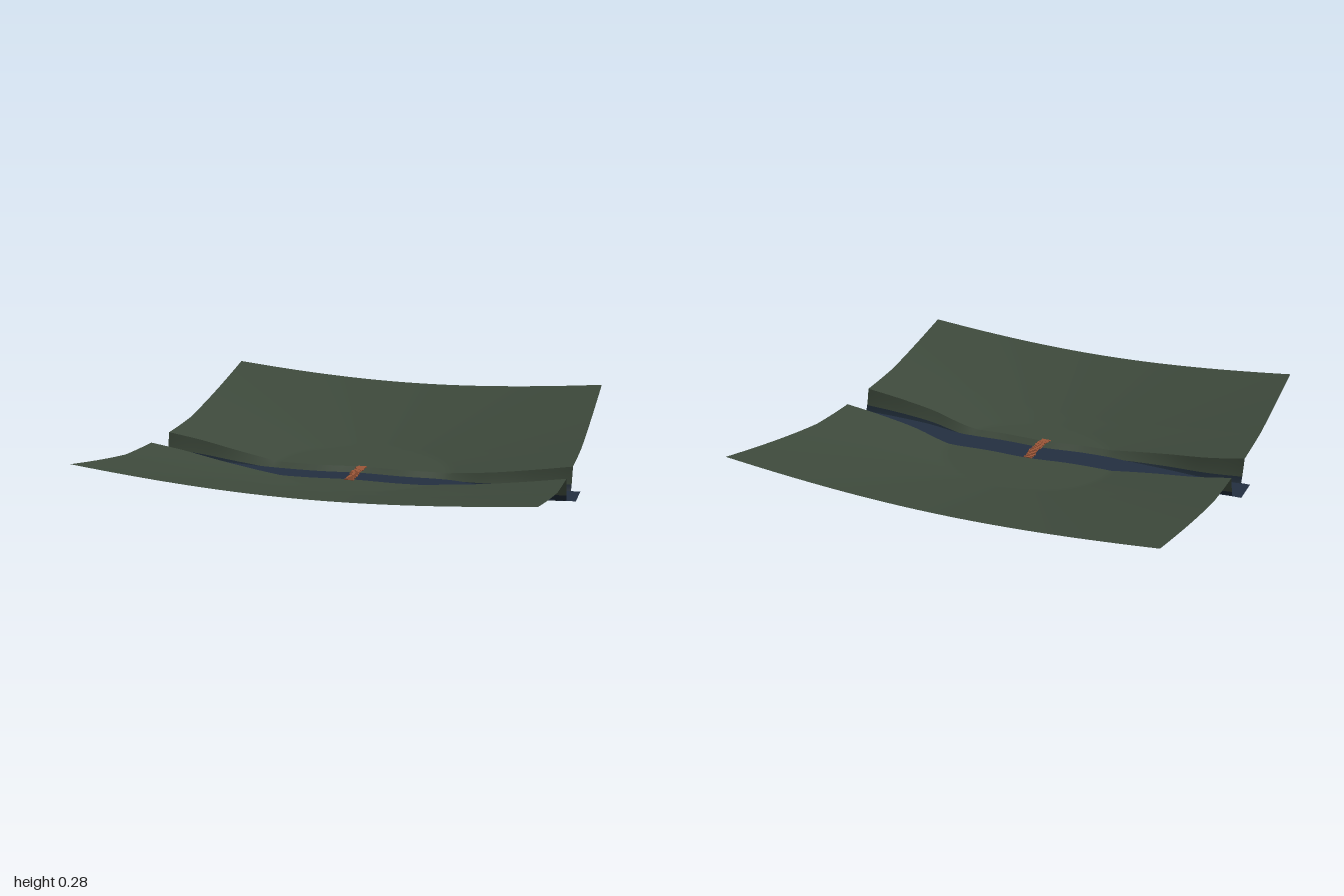
import * as THREE from 'three';

const HALF = 0.96;   // half size of the land sheet
const RIM = 0.1;     // river centre line to the top of the bank

const mat = (name, color) => new THREE.MeshStandardMaterial({ name, color, side: THREE.DoubleSide });

// River centre line, z sampled evenly from x = -1 to x = 1
const meander = new THREE.SplineCurve(
  [0.095, 0.09, 0.11, 0.12, 0.115, 0.09, 0.09, 0.08, 0.115, 0.12, 0.11]
    .map((z, i) => new THREE.Vector2(-1 + i * 0.2, z)));
const riverZ = x => meander.getPoint((x + 1) / 2).y;

// 0 around the middle of the river, rising to 1 at both ends
const toEnd = x => THREE.MathUtils.clamp((Math.abs(x) - 0.4) / 0.56, 0, 1);

// Flat clearing in the middle of a shallow bowl
function groundY(x, z) {
  const r = Math.hypot(x, 1.18 * (z - 0.01));
  return 0.046 + 0.16 * Math.max(0, r - 0.4) + 0.08 * Math.max(0, Math.abs(z - 0.1) - 0.36);
}

// v runs across the land: 0 river centre, 1 bed edge, 2 bank rim, 3 outer edge
function landPoint(x, v) {
  const side = Math.sign(v), a = Math.abs(v), c = riverZ(x), e = toEnd(x);
  const inner = 0.03 + 0.03 * e;
  if (a > 2) {
    const z = THREE.MathUtils.lerp(c + side * RIM, side * HALF, a - 2);
    return [x, groundY(x, z), z];
  }
  const t = Math.max(0, a - 1);
  const d = a <= 1 ? a * inner : inner + t * (RIM - inner);
  const bed = 0.028 * e;
  const top = groundY(x, c + side * RIM);
  return [x, bed + (top - bed) * Math.pow(t, 1.2 + 0.6 * e), c + side * d];
}

// Grid surface facing up, point(x, v) for x in -hx..hx and v in v0..v1
function sheet(name, material, point, hx, v0, v1, rows, cols = 96) {
  const pos = [], index = [];
  for (let j = 0; j <= rows; j++)
    for (let i = 0; i <= cols; i++)
      pos.push(...point(-hx + 2 * hx * i / cols, v0 + (v1 - v0) * j / rows));
  for (let j = 0; j < rows; j++)
    for (let i = 0; i < cols; i++) {
      const a = j * (cols + 1) + i, b = a + cols + 1;
      index.push(a, b, a + 1, b, b + 1, a + 1);
    }
  const geo = new THREE.BufferGeometry();
  geo.setAttribute('position', new THREE.Float32BufferAttribute(pos, 3));
  geo.setIndex(index);
  geo.computeVertexNormals();
  const mesh = new THREE.Mesh(geo, material);
  mesh.name = name;
  return mesh;
}

export function createModel() {
  const model = new THREE.Group();
  model.name = 'riverValley';
  const grass = mat('mossGreen', 0x3e4a3c);
  const bedBlue = mat('riverBedBlue', 0x1e2a36);
  const waterBlue = mat('waterBlue', 0x232f40);
  const plankWood = mat('plankBrown', 0x9a5638);
  const beamWood = mat('beamBrown', 0x6b3a26);

  // Land, banks and river bed
  model.add(
    sheet('backLand', grass, landPoint, HALF, -3, -2, 40),
    sheet('backBank', grass, landPoint, HALF, -2, -1.5, 6),
    sheet('riverBed', bedBlue, landPoint, HALF, -1.5, 1.5, 12),
    sheet('frontBank', grass, landPoint, HALF, 1.5, 2, 6),
    sheet('frontLand', grass, landPoint, HALF, 2, 3, 40));

  // Water surface, a little longer than the land
  const waterPoint = (x, v) => [x, 0.025 + 0.008 * toEnd(x), riverZ(x) + v * 0.07];
  model.add(sheet('water', waterBlue, waterPoint, 1, -1, 1, 2));

  // Plank footbridge with a slight arch
  const bridge = new THREE.Group();
  bridge.name = 'footbridge';
  const z0 = -0.01, z1 = 0.205, count = 16;
  const archY = t => 0.047 + 0.007 * Math.sin(Math.PI * t);
  const plankGeo = new THREE.BoxGeometry(0.04, 0.004, 0.0105);
  for (let i = 0; i < count; i++) {
    const t = (i + 0.5) / count;
    const plank = new THREE.Mesh(plankGeo, plankWood);
    plank.name = 'plank';
    plank.position.set(0.003 * Math.sin(i * 5.3) - 0.001, archY(t), z0 + (z1 - z0) * t);
    plank.rotation.y = 0.08 * Math.sin(i * 2.7);
    plank.scale.x = 1 + 0.1 * Math.sin(i * 3.9);
    bridge.add(plank);
  }
  for (const x of [-0.012, 0.012]) {
    const pts = [0, 0.25, 0.5, 0.75, 1].map(t =>
      new THREE.Vector3(x, archY(t) - 0.003, z0 + (z1 - z0) * t));
    const beam = new THREE.Mesh(
      new THREE.TubeGeometry(new THREE.CatmullRomCurve3(pts), 16, 0.002, 6), beamWood);
    beam.name = 'beam';
    bridge.add(beam);
  }
  model.add(bridge);
  return model;
}
